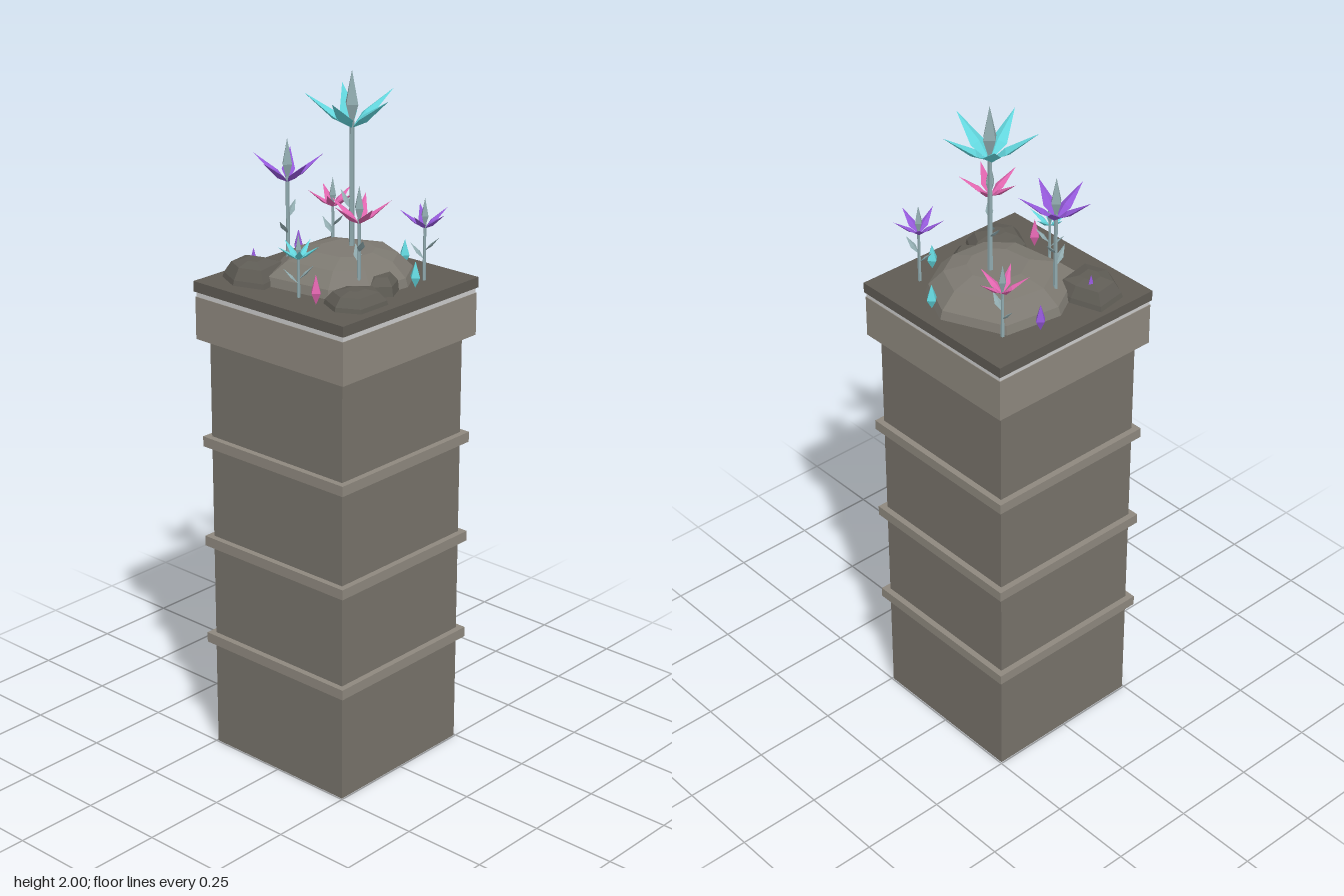
import * as THREE from 'three';
import { ConvexGeometry } from 'three/addons/geometries/ConvexGeometry.js';

const mat = (color) => new THREE.MeshStandardMaterial({ color, flatShading: true });
const COLORS = {
  stone: mat(0x77726a), trim: mat(0x8e887e), slab: mat(0x5f5b54), seam: mat(0xffffff),
  mound: mat(0x7d7971), rock: mat(0x5f5c55), stem: mat(0x8fa9ad),
  cyan: mat(0x62d5dc), purple: mat(0x9358d8), pink: mat(0xe065ae),
};
const GROUND = 1.428;

function add(parent, name, geometry, material, x = 0, y = 0, z = 0) {
  const mesh = new THREE.Mesh(geometry, material);
  mesh.name = name;
  mesh.position.set(x, y, z);
  parent.add(mesh);
  return mesh;
}

// Square block spanning y0..y1
function block(parent, name, half, y0, y1, material) {
  add(parent, name, new THREE.BoxGeometry(half * 2, y1 - y0, half * 2), material, 0, (y0 + y1) / 2, 0);
}

// Four-sided spindle standing on its lower point, widest at the given fraction of its length
function spindle(length, thick, wide, belly) {
  const g = new THREE.OctahedronGeometry(1);
  const p = g.attributes.position;
  for (let i = 0; i < p.count; i++) {
    const y = p.getY(i);
    p.setXYZ(i, p.getX(i) * thick, (y > 0.5 ? 1 : y < -0.5 ? 0 : belly) * length, p.getZ(i) * wide);
  }
  g.computeVertexNormals();
  return g;
}

// Spindle leaning outward at a compass angle (degrees, +x toward +z)
function lean(parent, name, geometry, material, y, angle, tilt) {
  const arm = new THREE.Group();
  arm.name = name;
  arm.position.y = y;
  arm.rotation.y = -THREE.MathUtils.degToRad(angle);
  add(arm, name, geometry, material).rotation.z = -THREE.MathUtils.degToRad(tilt);
  parent.add(arm);
}

// s = bloom scale, y = bloom base, leaves = list of [angle, height fraction]
function flower(color, x, z, y, s, turn, leaves) {
  const f = new THREE.Group();
  f.name = 'flower';
  f.position.set(x, 0, z);
  const h = y - GROUND + 0.02;
  add(f, 'stem', new THREE.CylinderGeometry(0.0055 * s + 0.001, 0.006 * s + 0.002, h, 5), COLORS.stem, 0, GROUND + h / 2, 0);
  const petal = spindle(0.161 * s, 0.011 * s, 0.024 * s, 0.36);
  for (let i = 0; i < 5; i++) lean(f, 'petal', petal, color, y, turn + i * 72, 54);
  add(f, 'pistil', spindle(2 * 0.08 * s, 0.023 * s, 0.023 * s, 0.42), COLORS.stem, 0, y, 0);
  const leaf = spindle(0.05 + 0.02 * s, 0.004, 0.011, 0.45);
  for (const [angle, t] of leaves) lean(f, 'leaf', leaf, COLORS.stem, GROUND + h * t, angle, 45);
  return f;
}

// Faceted rock from a footprint [x, z], stacked as rings [scale, y]
function rock(parent, name, footprint, rings, material) {
  const cx = footprint.reduce((a, p) => a + p[0], 0) / footprint.length;
  const cz = footprint.reduce((a, p) => a + p[1], 0) / footprint.length;
  const points = [];
  for (const [k, y] of rings)
    for (const [x, z] of footprint) points.push(new THREE.Vector3(cx + (x - cx) * k, y, cz + (z - cz) * k));
  add(parent, name, new ConvexGeometry(points), material);
}

export function createModel() {
  const model = new THREE.Group();
  model.name = 'flowerPedestal';

  // Pedestal
  block(model, 'column', 0.246, 0, 1.26, COLORS.stone);
  for (const y of [0.342, 0.649, 0.955]) block(model, 'band', 0.264, y - 0.015, y + 0.015, COLORS.trim);
  block(model, 'capital', 0.273, 1.26, 1.383, COLORS.trim);
  block(model, 'seam', 0.271, 1.383, 1.398, COLORS.seam);
  block(model, 'slab', 0.276, 1.398, GROUND, COLORS.slab);

  // Mound and boulders
  rock(model, 'mound',
    [[0, -0.24], [0.13, -0.18], [0.19, -0.08], [0.18, 0.06], [0.1, 0.145], [-0.105, 0.172], [-0.2, 0.01], [-0.175, -0.16]],
    [[1, GROUND], [0.96, 1.452], [0.74, 1.492], [0.4, 1.51]], COLORS.mound);
  rock(model, 'sideBoulder', [[0.12, -0.1], [0.185, -0.05], [0.215, 0.01], [0.17, 0.06], [0.1, 0.03]],
    [[1, GROUND], [0.9, 1.455], [0.5, 1.475]], COLORS.rock);
  rock(model, 'leftBoulder', [[0.185, 0.03], [0.247, 0.066], [0.247, 0.173], [0.183, 0.207], [0.112, 0.173], [0.112, 0.09]],
    [[1, GROUND], [0.96, 1.44], [0.72, 1.463], [0.3, 1.472]], COLORS.rock);
  rock(model, 'rightBoulder', [[-0.17, 0.07], [-0.105, 0.068], [-0.08, 0.202], [-0.168, 0.232], [-0.245, 0.195], [-0.26, 0.1]],
    [[1, GROUND], [0.95, 1.442], [0.72, 1.473], [0.3, 1.484]], COLORS.rock);

  // Flowers
  const { cyan, purple, pink } = COLORS;
  model.add(
    flower(cyan, 0, -0.062, 1.84, 1, 0, [[190, 0.42]]),
    flower(purple, -0.14, 0.044, 1.685, 0.77, 15, [[75, 0.4], [255, 0.55]]),
    flower(pink, 0.137, 0.06, 1.627, 0.66, 24, [[215, 0.4], [35, 0.55]]),
    flower(pink, -0.17, -0.171, 1.561, 0.54, -12, [[185, 0.35], [5, 0.5]]),
    flower(purple, 0.183, -0.155, 1.575, 0.54, 2, [[165, 0.35], [345, 0.5]]),
    flower(cyan, 0.03, 0.182, 1.533, 0.45, -28, [[145, 0.3], [325, 0.4]]),
  );

  // Loose crystals: colour, x, z, base y, height, radius
  for (const [color, x, z, y, h, r] of [
    [cyan, 0.056, -0.221, GROUND, 0.075, 0.017], [cyan, 0.207, -0.09, GROUND, 0.075, 0.017],
    [purple, -0.215, -0.078, GROUND, 0.08, 0.016], [purple, -0.195, 0.123, 1.455, 0.05, 0.01],
    [pink, 0.106, 0.196, GROUND, 0.085, 0.017],
  ]) add(model, 'crystal', spindle(h, r, r, 0.4), color, x, y, z);

  return model;
}
